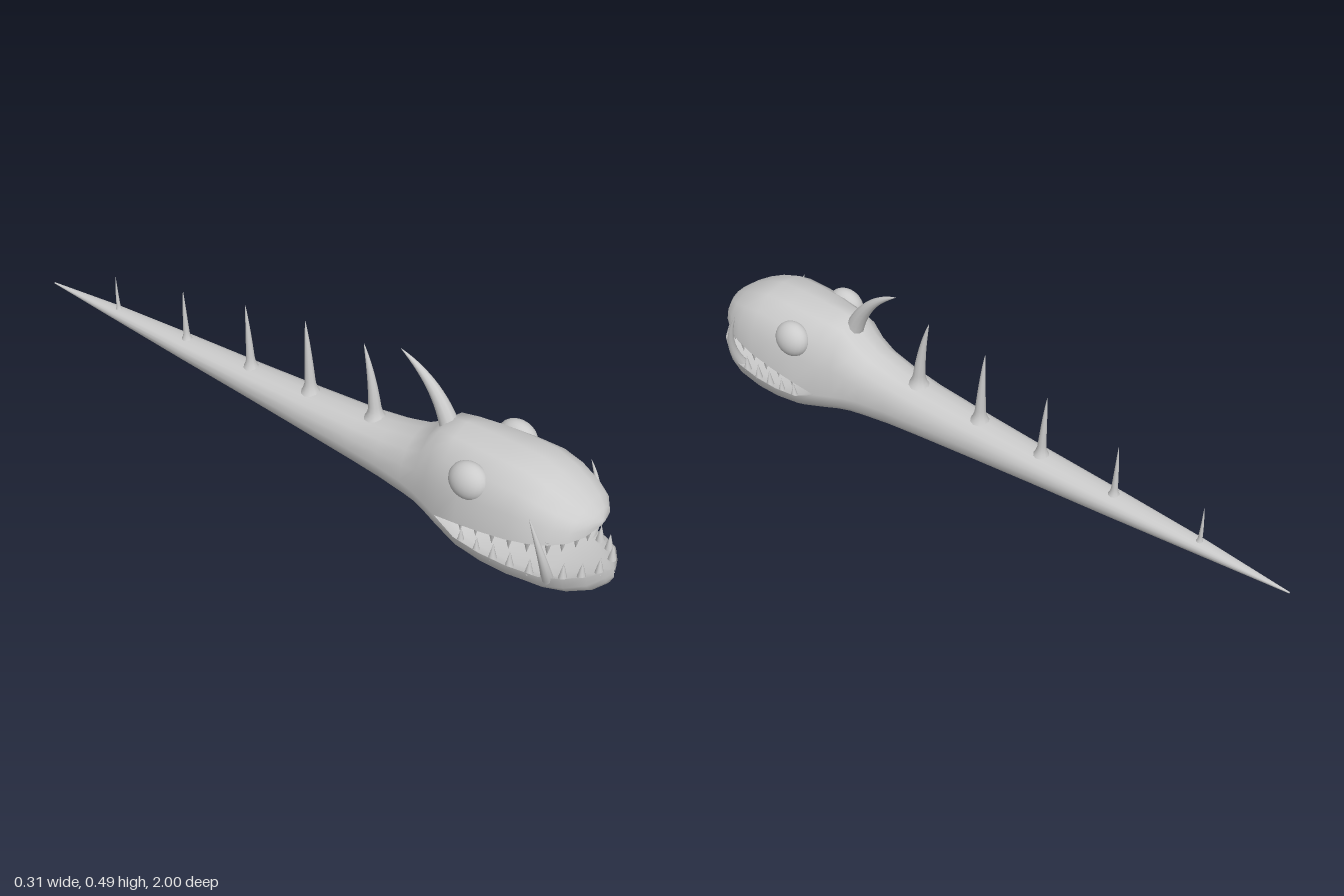
import * as THREE from 'three';
import { mergeGeometries, mergeVertices } from 'three/addons/utils/BufferGeometryUtils.js';

const HALF = 8; // segments per half ring

// Stations along z: [z, top, mid, bottom, halfWidth]
const TRUNK = [
  [-1, 0.152, 0.15, 0.148, 0.002], [-0.73, 0.172, 0.155, 0.135, 0.025], [-0.45, 0.185, 0.155, 0.118, 0.043],
  [-0.2, 0.197, 0.153, 0.103, 0.056], [0, 0.21, 0.15, 0.09, 0.067], [0.2, 0.226, 0.148, 0.076, 0.079],
  [0.3, 0.243, 0.147, 0.069, 0.087], [0.39, 0.268, 0.143, 0.06, 0.097], [0.44, 0.3, 0.138, 0.056, 0.106],
  [0.48, 0.345, 0.132, 0.05, 0.117], [0.53, 0.353, 0.125, 0.037, 0.133],
];
// [z, top, lip, halfWidth]
const UPPER = [
  [0.53, 0.353, 0.125, 0.133], [0.6, 0.357, 0.148, 0.148], [0.68, 0.358, 0.167, 0.155], [0.76, 0.356, 0.183, 0.154],
  [0.82, 0.335, 0.196, 0.146], [0.87, 0.31, 0.205, 0.128], [0.91, 0.285, 0.214, 0.1], [0.935, 0.265, 0.222, 0.062],
  [0.948, 0.245, 0.232, 0.015], [0.95, 0.238, 0.235, 0.001],
];
// [z, bottom, lip, halfWidth]
const LOWER = [
  [0.53, 0.037, 0.125, 0.133], [0.6, 0.02, 0.094, 0.143], [0.68, 0.006, 0.086, 0.145], [0.76, 0, 0.085, 0.141],
  [0.85, 0.004, 0.087, 0.127], [0.91, 0.012, 0.097, 0.105], [0.96, 0.03, 0.109, 0.072], [0.99, 0.058, 0.115, 0.028],
  [1, 0.08, 0.115, 0.001],
];

// Half ring from angle 0 to PI (dir 1) or PI to 2PI (dir -1)
function halfRing(z, edge, height, w, dir) {
  const pts = [];
  for (let i = 0; i <= HALF; i++) {
    const a = (i / HALF) * Math.PI;
    const c = Math.cos(a) * dir;
    const x = Math.sign(c) * Math.pow(Math.abs(c), 0.9) * w;
    pts.push(new THREE.Vector3(Math.abs(c) < 1e-6 ? 0 : x, edge + dir * height * Math.pow(Math.abs(Math.sin(a)), 0.9), z));
  }
  return pts;
}

// Skin a list of equally sized rings
function loft(rings, flip = false) {
  const n = rings[0].length, index = [];
  for (let i = 0; i < rings.length - 1; i++) {
    for (let j = 0; j < n - 1; j++) {
      const a = i * n + j, b = a + 1, c = a + n, d = c + 1;
      if (flip) index.push(a, c, b, b, c, d);
      else index.push(a, b, c, b, d, c);
    }
  }
  const geo = new THREE.BufferGeometry().setFromPoints(rings.flat());
  geo.setIndex(index);
  geo.computeVertexNormals();
  return geo;
}

// Weld coincident corners and smooth the whole surface
function weld(geo) {
  geo.deleteAttribute('normal');
  geo.deleteAttribute('uv');
  const out = mergeVertices(geo, 1e-5);
  out.computeVertexNormals();
  return out;
}

// Curved spike: a tube whose radius follows profile(t)
function spike(points, profile, steps = 14, sides = 10) {
  const curve = new THREE.QuadraticBezierCurve3(...points.map(p => new THREE.Vector3(...p)));
  const geo = new THREE.TubeGeometry(curve, steps, 1, sides);
  const pos = geo.attributes.position, v = new THREE.Vector3();
  for (let i = 0; i < pos.count; i++) {
    const t = Math.floor(i / (sides + 1)) / steps;
    const c = curve.getPointAt(t);
    v.fromBufferAttribute(pos, i).sub(c).multiplyScalar(Math.max(profile(t), 0.0004)).add(c);
    pos.setXYZ(i, v.x, v.y, v.z);
  }
  return weld(geo);
}

// Lip height and half width at a given z
function lipAt(table, z) {
  let i = 0;
  while (i < table.length - 2 && table[i + 1][0] < z) i++;
  const p = table[i], q = table[i + 1], t = (z - p[0]) / (q[0] - p[0]);
  return { y: p[2] + (q[2] - p[2]) * t, w: p[3] + (q[3] - p[3]) * t };
}

export function createModel() {
  const group = new THREE.Group();
  const material = new THREE.MeshStandardMaterial({ color: 0xcccccc, roughness: 0.8 });
  const inner = material.clone();
  inner.side = THREE.DoubleSide;
  const add = (name, geo, mat = material) => {
    const mesh = new THREE.Mesh(geo, mat);
    mesh.name = name;
    group.add(mesh);
    return mesh;
  };

  // Tail, skull and lower jaw as one continuous skin
  const trunk = loft(TRUNK.map(([z, top, mid, bot, w]) =>
    [...halfRing(z, mid, top - mid, w, 1), ...halfRing(z, mid, mid - bot, w, -1).slice(1)]));
  const skull = loft(UPPER.map(([z, top, lip, w]) => halfRing(z, lip, top - lip, w, 1)));
  const jaw = loft(LOWER.map(([z, bot, lip, w]) => halfRing(z, lip, lip - bot, w, -1)));
  add('body', weld(mergeGeometries([trunk, skull, jaw])));

  // Mouth lining
  add('palate', loft(UPPER.map(([z, top, lip, w], i) =>
    halfRing(z, lip, i ? (top - lip) * 0.35 : 0, w, 1)), true), inner);
  add('mouthFloor', loft(LOWER.map(([z, bot, lip, w], i) =>
    halfRing(z, lip, i ? (lip - bot) * 0.25 : 0, w, -1)), true), inner);

  // Teeth along both lips
  const tooth = new THREE.ConeGeometry(0.012, 0.05, 8);
  const rows = [
    ['upperTooth', UPPER, [0.942, 0.928, 0.905, 0.865, 0.815, 0.765, 0.715, 0.665, 0.615], -1],
    ['lowerTooth', LOWER, [0.985, 0.955, 0.915, 0.82, 0.765, 0.715, 0.665, 0.615], 1],
  ];
  for (const [name, table, zs, up] of rows) {
    for (const z of zs) {
      const { y, w } = lipAt(table, z);
      const s = z < 0.7 ? 0.8 : 1;
      for (const side of [1, -1]) {
        const mesh = add(name, tooth);
        mesh.position.set(side * w * 0.9, y + up * 0.016 * s, z - (z > 0.9 ? 0.012 : 0));
        mesh.scale.setScalar(s);
        if (up < 0) mesh.rotation.x = Math.PI;
      }
    }
  }

  for (const side of [1, -1]) {
    // Eyes
    const eye = add(side > 0 ? 'leftEye' : 'rightEye', new THREE.SphereGeometry(1, 24, 16));
    eye.position.set(side * 0.115, 0.278, 0.618);
    eye.scale.set(0.04, 0.052, 0.057);
    eye.rotation.z = side * 0.2;
    // Long tusks rising from the lower jaw
    add(side > 0 ? 'leftTusk' : 'rightTusk', spike(
      [[side * 0.1, 0.07, 0.865], [side * 0.15, 0.16, 0.88], [side * 0.148, 0.282, 0.822]],
      t => 0.017 * Math.pow(1 - t, 0.7)));
  }

  // Swept head horn
  add('headHorn', spike([[0, 0.32, 0.475], [0, 0.435, 0.43], [0, 0.49, 0.312]],
    t => 0.027 * Math.pow(1 - t, 0.8)));

  // Back spines with flared roots: [base z, base y, tip z, tip y, radius]
  const spines = [
    [0.237, 0.21, 0.192, 0.452, 0.022], [0.012, 0.192, -0.008, 0.438, 0.019], [-0.205, 0.182, -0.222, 0.397, 0.015],
    [-0.45, 0.172, -0.458, 0.346, 0.011], [-0.725, 0.162, -0.73, 0.284, 0.007],
  ];
  for (const [z, y, tz, ty, r] of spines) {
    add('backSpine', spike([[0, y, z], [0, (y + ty) / 2, z - 0.006], [0, ty, tz]],
      t => r * (Math.pow(1 - t, 0.75) + 1.1 * Math.max(0, 1 - t / 0.2) ** 2), 18));
  }
  return group;
}
